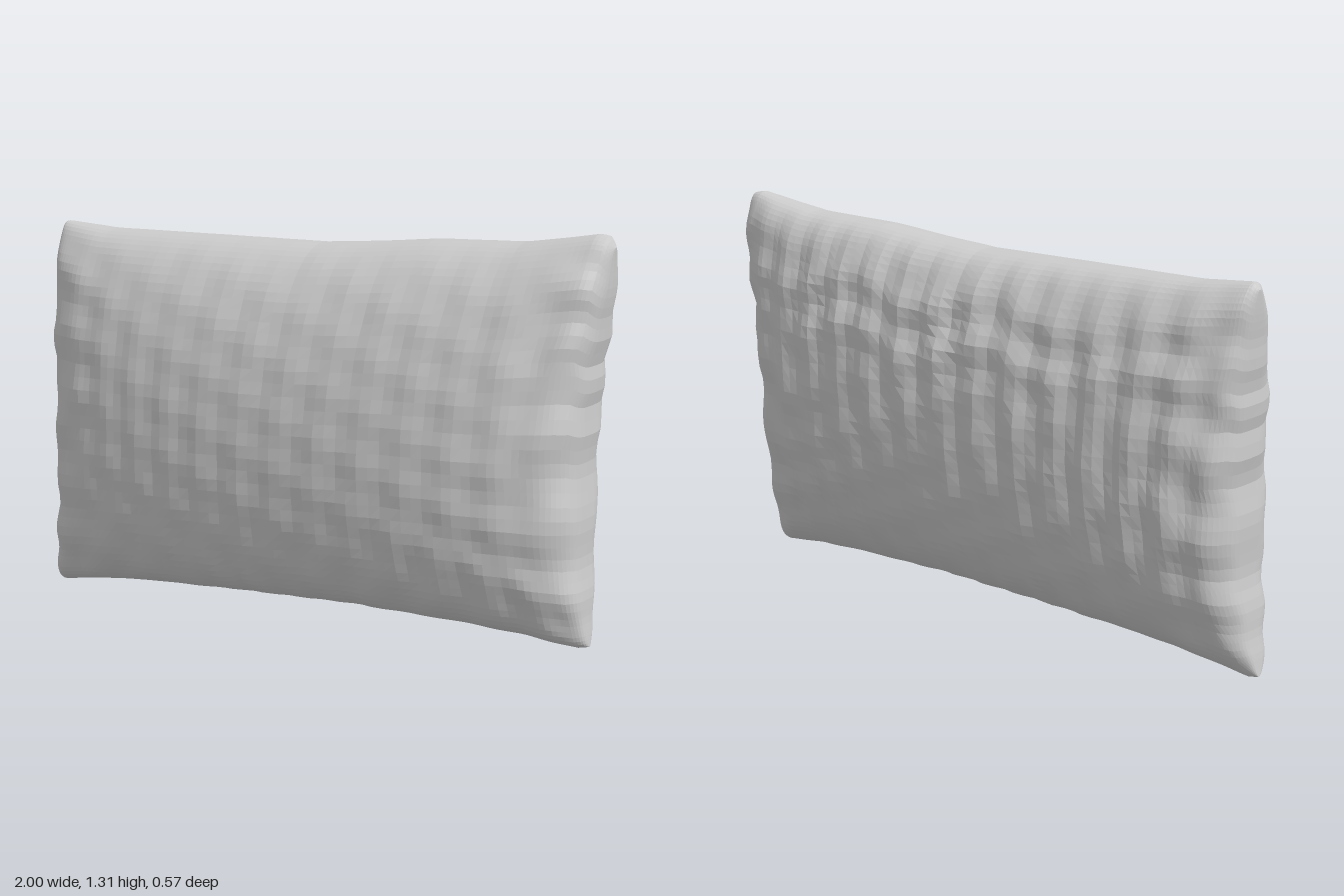
import * as THREE from 'three';

// Linear lookup through [position, value] pairs
function lookup(table, t) {
  for (let i = 1; i < table.length; i++) {
    const [a, va] = table[i - 1], [b, vb] = table[i];
    if (t <= b) return va + (vb - va) * Math.max(0, (t - a) / (b - a));
  }
  return table[table.length - 1][1];
}

// Outline of the seam: heights along x, half widths along y
const topEdge = [[-1, 1.215], [-0.985, 1.237], [-0.8, 1.222], [0, 1.225], [0.2, 1.24], [0.4, 1.26], [0.7, 1.27], [0.85, 1.293], [0.95, 1.31], [0.98, 1.305], [1, 1.27]];
const bottomEdge = [[-1, 0.005], [-0.97, 0], [-0.8, 0.03], [-0.6, 0.052], [-0.2, 0.075], [0.2, 0.09], [0.6, 0.085], [0.8, 0.075], [0.97, 0.055], [1, 0.06]];
const rightEdge = [[0, 1], [0.1, 0.988], [0.25, 0.968], [0.5, 0.955], [0.7, 0.965], [0.85, 0.99], [1, 1]];
const leftEdge = [[0, 1], [0.08, 0.985], [0.25, 0.96], [0.5, 0.955], [0.75, 0.975], [0.9, 0.992], [1, 1]];

const COLS = 76, ROWS = 44;

// One stuffed half of the cushion; side is +1 for front, -1 for back
function cushionHalf(side) {
  const positions = [], index = [];
  for (let j = 0; j <= ROWS; j++) {
    const v = 0.5 + 0.5 * Math.sin(Math.PI * (j / ROWS - 0.5));
    for (let i = 0; i <= COLS; i++) {
      const u = Math.sin(Math.PI * (i / COLS - 0.5));

      // Seam outline with small gathers along the short ends
      const gather = 0.006 * Math.sin(v * 40 + u + 2 * Math.sin(v * 9)) * Math.sin(Math.PI * v) * Math.abs(u) ** 6;
      const x = u * (lookup(u < 0 ? leftEdge : rightEdge, v) + gather);
      const low = lookup(bottomEdge, u), high = lookup(topEdge, u);
      const y = low + (high - low) * v;
      const seamZ = 0.035 - 0.085 * v - 0.035 * u * v;

      // Plump profile, blunt along the bottom and fuller at the top of the back
      const along = Math.max(0, 1 - u * u) ** 0.27;
      const power = side > 0 ? 0.37 + 0.1 * v : 0.5 - 0.1 * v;
      const plump = along * Math.max(0, 4 * v * (1 - v)) ** power;

      // Vertical ripples, end pleats and puckers along the bottom seam
      const endFade = Math.exp(-(1 - Math.abs(u)) / 0.12);
      const lowFade = Math.exp(-v / 0.12);
      const ripple = (side > 0 ? 0.0025 : 0.0075) * Math.sin(u * 44 + 1.3 * Math.sin(v * 5 + u * 3));
      const pleat = 0.018 * endFade * Math.sin(v * 38 + 2 * Math.sin(u * 7 + v * 6) + side);
      const pucker = 0.011 * lowFade * Math.sin(u * 39 + 2 * Math.sin(v * 13 + u * 5));
      const crumple = 0.0035 * Math.sin(x * 23 + y * 11) * Math.sin(y * 27 - x * 8 + side);
      const dent = side > 0 ? -0.025 * Math.exp(-(((u - 0.88) / 0.05) ** 2) - ((v - 0.76) / 0.13) ** 2) : 0;
      const fold = side < 0 ? 0.007 * Math.sin(y * 36 + 1.5 * Math.sin(x * 11)) * Math.exp(-(((v - 0.78) / 0.12) ** 2)) : 0;
      const wrinkle = (ripple + pleat + pucker + crumple + dent + fold) * Math.min(1, plump * 1.3);

      const depth = (side > 0 ? 0.29 : 0.258) * plump;
      positions.push(x, y, seamZ + side * (depth + wrinkle));

      if (i < COLS && j < ROWS) {
        const a = j * (COLS + 1) + i, b = a + 1, c = a + COLS + 1, d = c + 1;
        if (side > 0) index.push(a, b, d, a, d, c);
        else index.push(a, d, b, a, c, d);
      }
    }
  }
  const geometry = new THREE.BufferGeometry();
  geometry.setAttribute('position', new THREE.Float32BufferAttribute(positions, 3));
  geometry.setIndex(index);
  geometry.computeVertexNormals();
  return geometry;
}

export function createModel() {
  const group = new THREE.Group();
  group.name = 'cushion';
  const fabric = new THREE.MeshStandardMaterial({ color: 0xcccccc, flatShading: true });
  fabric.name = 'light grey fabric';

  for (const [name, side] of [['frontPanel', 1], ['backPanel', -1]]) {
    const panel = new THREE.Mesh(cushionHalf(side), fabric);
    panel.name = name;
    group.add(panel);
  }
  return group;
}
